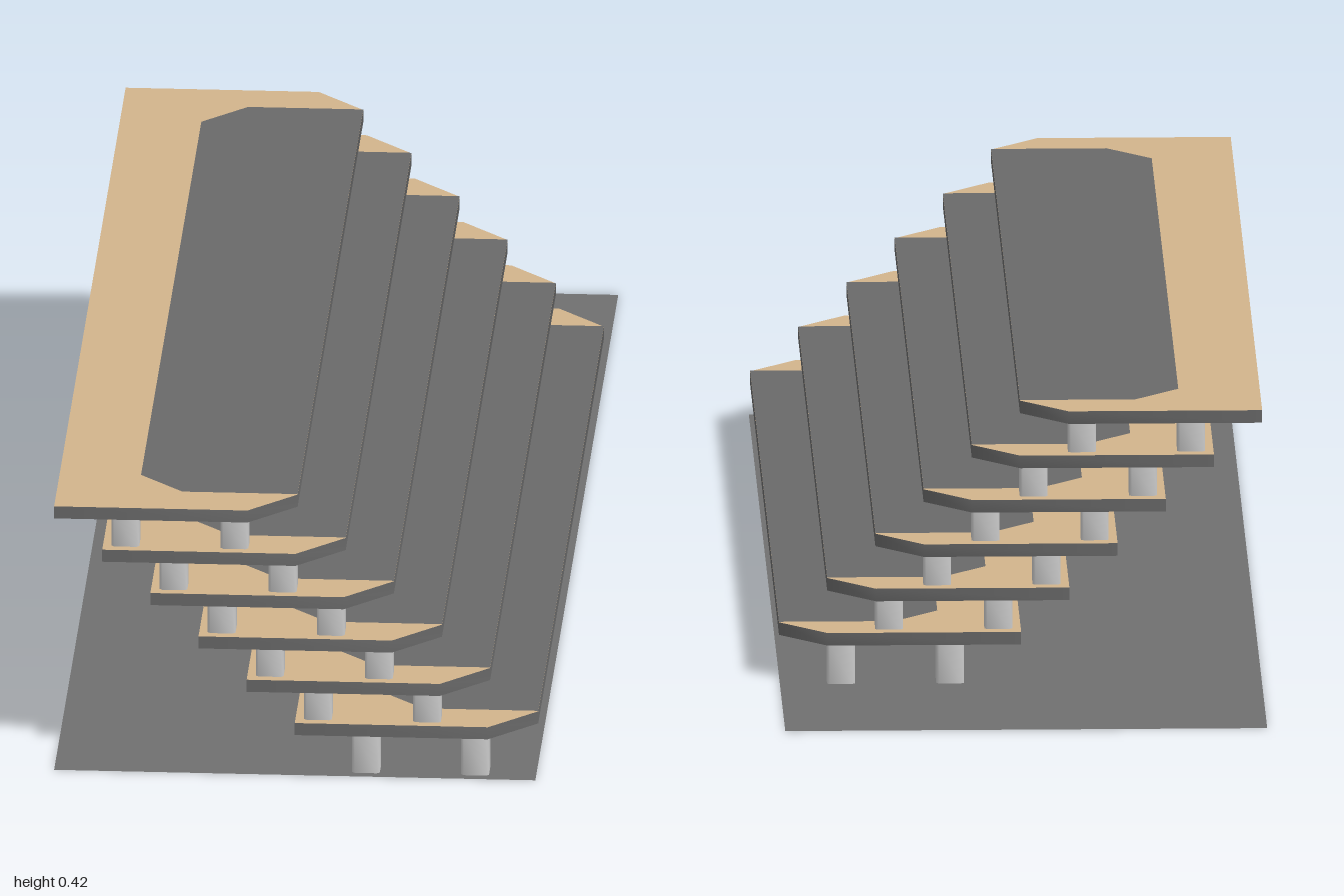
import * as THREE from 'three';
import { toCreasedNormals } from 'three/addons/utils/BufferGeometryUtils.js';

const STEPS = 6, RUN = 0.071, RISE = 0.0667;
const WIDTH = 0.355, THICK = 0.019, POST = 0.063, CUT = 0.07;
const BACK = -0.725, FRONT = 1;

const mat = (color) => new THREE.MeshStandardMaterial({ color });
const wood = mat(0xd2b48c), dark = mat(0x696969), grey = mat(0xcccccc);
const floorMat = new THREE.MeshStandardMaterial({ color: 0x707070, side: THREE.DoubleSide });

// Outline given as [x, z] pairs, laid flat so that z runs towards the front
const outline = (pts) => new THREE.Shape(pts.map(([x, z]) => new THREE.Vector2(x, -z)));
const slab = (pts, depth) => toCreasedNormals(
  new THREE.ExtrudeGeometry(outline(pts), { depth, bevelEnabled: false }).rotateX(-Math.PI / 2), 0.82);

function add(parent, name, geometry, material, x = 0, y = 0, z = 0) {
  const mesh = new THREE.Mesh(geometry, material);
  mesh.name = name;
  mesh.position.set(x, y, z);
  parent.add(mesh);
}

export function createModel() {
  const model = new THREE.Group();
  model.name = 'steppedPlatforms';

  // Thin ground sheet
  add(model, 'basePlate', new THREE.PlaneGeometry(0.71, 2).rotateX(-Math.PI / 2), floorMat);

  // Board with both corners cut on its open side
  const board = slab([
    [0, FRONT], [WIDTH - CUT, FRONT], [WIDTH, FRONT - CUT],
    [WIDTH, BACK + CUT], [WIDTH - CUT, BACK], [0, BACK],
  ], THICK);

  // Dark panel on top, reaching the open edge
  const a = 0.12, c = 0.065, z0 = BACK + CUT, z1 = FRONT - CUT;
  const panel = new THREE.ShapeGeometry(outline([
    [a + c, z1], [WIDTH, z1], [WIDTH, z0], [a + c, z0], [a, z0 + c], [a, z1 - c],
  ])).rotateX(-Math.PI / 2);

  // Bare wooden edge on the closed side
  const edge = new THREE.PlaneGeometry(FRONT - BACK, THICK).rotateY(-Math.PI / 2);

  // Square post with slightly cut corners
  const h = 0.0205, k = h - 0.004;
  const post = slab([
    [-k, h], [k, h], [h, k], [h, -k], [k, -h], [-k, -h], [-h, -k], [-h, k],
  ], POST);
  const gapPost = post.clone().scale(1, (RISE - THICK) / POST, 1);

  for (let i = 0; i < STEPS; i++) {
    const step = new THREE.Group();
    step.name = `step${i + 1}`;
    step.position.set(-RUN * i, POST + RISE * i, 0);
    model.add(step);

    add(step, 'board', board, [wood, dark]);
    add(step, 'topPanel', panel, dark, 0, THICK + 0.0008, 0);
    add(step, 'woodenEdge', edge, wood, -0.0005, THICK / 2, (FRONT + BACK) / 2);

    // Four posts under each board
    const geometry = i ? gapPost : post;
    const drop = i ? RISE - THICK : POST;
    for (const x of [0.104, 0.265])
      for (const z of [0.965, -0.685]) add(step, 'post', geometry, grey, x, -drop, z);
  }
  return model;
}
